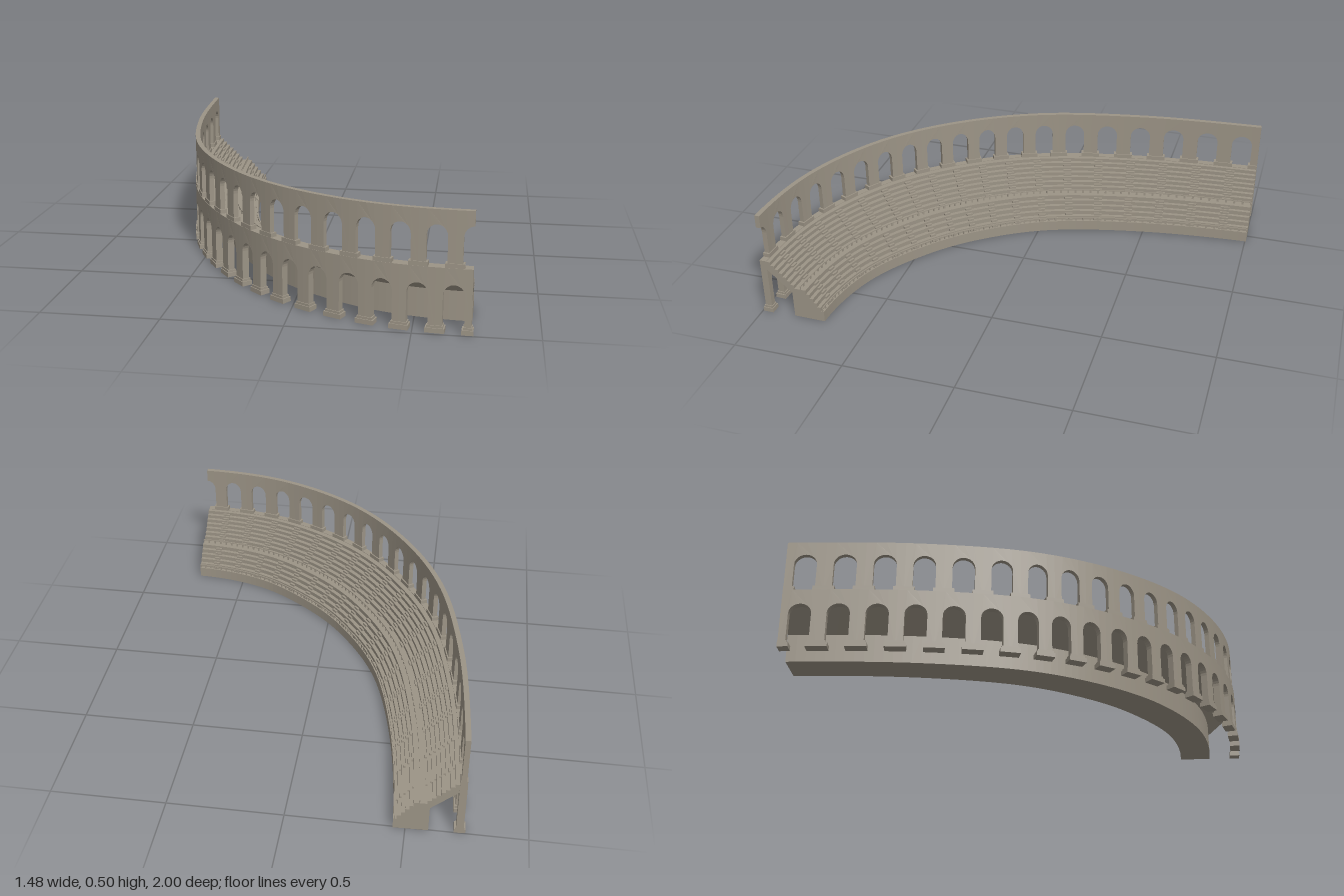
import * as THREE from 'three';
import { mergeGeometries } from 'three/addons/utils/BufferGeometryUtils.js';

// Plan curves; parameter k counts arch bays from the front end (0) to the back end (END)
const END = 18.5;
const plan = (pts) => new THREE.CatmullRomCurve3(
  pts.map(([x, z]) => new THREE.Vector3(x, 0, z)), false, 'catmullrom', 0.5);
const outer = plan([[1.15, 0.95], [0.73, 0.99], [0.308, 0.93], [-0.077, 0.738], [-0.365, 0.445],
  [-0.573, 0.064], [-0.686, -0.411], [-0.735, -0.914], [-0.75, -1.42]]);
const inner = plan([[1.07, 0.65], [0.735, 0.7], [0.40, 0.638], [0.12, 0.47], [-0.096, 0.254],
  [-0.277, -0.05], [-0.388, -0.46], [-0.445, -0.925], [-0.457, -1.42]]);
const param = (k) => (k + 3) / 24;

// Point at bay k, height y, and distance d inward from the outer face
function onWall(k, y, d) {
  const p = outer.getPoint(param(k));
  const t = outer.getTangent(param(k));
  return new THREE.Vector3(p.x - t.z * d, y, p.z + t.x * d);
}

// Point at bay k, height y, and fraction t of the way from outer to inner curve
function onSeats(k, y, t) {
  const p = outer.getPoint(param(k)).lerp(inner.getPoint(param(k)), t);
  p.y = y;
  return p;
}

// Moves every vertex of a geometry by rule and gives it flat normals
function bend(geometry, rule) {
  const g = geometry.index ? geometry.toNonIndexed() : geometry;
  const pos = g.attributes.position;
  for (let i = 0; i < pos.count; i++) {
    const v = rule(pos.getX(i), pos.getY(i), pos.getZ(i));
    pos.setXYZ(i, v.x, v.y, v.z);
  }
  g.computeVertexNormals();
  return g;
}

// Curved block spanning k0..k1, y0..y1 and d0..d1
function block(place, k0, k1, y0, y1, d0, d1, segments = 1) {
  const g = new THREE.BoxGeometry(k1 - k0, y1 - y0, d1 - d0, segments, 1, 1);
  g.translate((k0 + k1) / 2, (y0 + y1) / 2, (d0 + d1) / 2);
  return bend(g, place);
}

// One wall bay with an arched opening; a half bay starts at the crown
function archBay(centre, pitch, { bottom, spring, crown, top, half, front, back }, isHalf = false) {
  const pts = isHalf ? [] : [[-0.5, bottom], [-half, bottom]];
  const n = isHalf ? 6 : 12;
  const start = isHalf ? Math.PI / 2 : Math.PI;
  for (let i = 0; i <= n; i++) {
    const a = start * (1 - i / n);
    pts.push([half * Math.cos(a), spring + (crown - spring) * Math.sin(a)]);
  }
  pts.push([half, bottom], [0.5, bottom], [0.5, top], [0.25, top], [0, top]);
  if (!isHalf) pts.push([-0.25, top], [-0.5, top]);
  const shape = new THREE.Shape(pts.map(([x, y]) => new THREE.Vector2(x, y)));
  const g = new THREE.ExtrudeGeometry(shape, { depth: back - front, bevelEnabled: false });
  return bend(g, (x, y, z) => onWall(centre + x * pitch, y, front + z));
}

// Stepped rows running from (t0, y0) up to (t1, y1)
function makeRows(count, t0, t1, y0, y1) {
  return Array.from({ length: count }, (_, i) => ({
    t: t0 + (t1 - t0) * i / count,
    y0: y0 + (y1 - y0) * i / count,
    y1: y0 + (y1 - y0) * (i + 1) / count,
  }));
}

export function createModel() {
  const group = new THREE.Group();
  const stone = new THREE.MeshStandardMaterial({ color: 0x9c9486 });
  const add = (name, parts) => {
    const mesh = new THREE.Mesh(mergeGeometries(parts), stone);
    mesh.name = name;
    group.add(mesh);
  };
  const clamp = (k, over = 0) => Math.min(END, Math.max(-over, k));

  // Lower arcade with a plinth under every pier; bays tighten slightly to end on a pier
  const lower = { bottom: 0, spring: 0.155, crown: 0.2, top: 0.267, half: 0.3, front: 0.003, back: 0.034 };
  const bays = 19;
  const pier = (i) => i - (bays - END) * (i / bays) ** 2;
  const lowerWall = [];
  const lowerPlinths = [];
  for (let i = 0; i <= bays; i++) {
    const k = pier(i);
    if (i < bays) lowerWall.push(archBay((k + pier(i + 1)) / 2, pier(i + 1) - k, lower));
    lowerPlinths.push(
      block(onWall, clamp(k - 0.27, 0.06), clamp(k + 0.27), 0, 0.02, -0.005, 0.042),
      block(onWall, clamp(k - 0.23, 0.03), clamp(k + 0.23), 0.02, 0.03, -0.001, 0.038));
  }
  add('lowerArcade', lowerWall);
  add('lowerPlinths', lowerPlinths);

  // Upper arcade, set half a bay off, beginning with a half arch
  const upper = { bottom: 0.265, spring: 0.39, crown: 0.437, top: 0.497, half: 0.29, front: 0.008, back: 0.03 };
  const upperWall = [archBay(0, 1, upper, true)];
  const upperPlinths = [];
  for (let k = 1; k <= 18; k++) upperWall.push(archBay(k, 1, upper));
  for (let k = 0.5; k <= END; k++) {
    upperPlinths.push(block(onWall, k - 0.27, clamp(k + 0.27), 0.265, 0.285, 0.004, 0.035));
  }
  add('upperArcade', upperWall);
  add('upperPlinths', upperPlinths);

  // Seating bank: two stepped tiers, a walkway between, sloped underside
  const lowerRows = makeRows(5, 0.95, 0.67, 0.05, 0.148);
  const upperRows = makeRows(7, 0.54, 0.12, 0.148, 0.265);
  const section = [[0.5, 0], [1, 0], [1, 0.05]];
  for (const r of [...lowerRows, ...upperRows]) section.push([r.t, r.y0], [r.t, r.y1]);
  section.push([0.05, 0.265], [0.05, 0.24], [0.5, 0.125]);
  const bank = new THREE.ExtrudeGeometry(
    new THREE.Shape(section.map(([t, y]) => new THREE.Vector2(-t, y))),
    { depth: END, steps: 74, bevelEnabled: false });
  add('seatingBank', [bend(bank, (x, y, z) => onSeats(z, y, -x))]);

  // Aisles, one per bay: a half-height step in front of every row
  const steps = [];
  for (let k = 0.75; k < END; k++) {
    for (const { t, y0, y1 } of [...lowerRows, ...upperRows]) {
      steps.push(block(onSeats, k - 0.13, k + 0.13, y0 - 0.002, (y0 + y1) / 2, t - 0.015, t + 0.03));
    }
  }
  add('aisleSteps', steps);

  // Low railings on the front edge and along the walkway
  const railings = [];
  for (const [t, y] of [[0.98, 0.05], [0.645, 0.148]]) {
    railings.push(block(onSeats, 0, END, y + 0.014, y + 0.018, t - 0.008, t + 0.008, 74));
    for (let i = 0; i <= 74; i++) {
      const k = i * 0.25;
      railings.push(block(onSeats, clamp(k - 0.03), clamp(k + 0.03), y - 0.002, y + 0.015, t - 0.007, t + 0.007));
    }
  }
  add('railings', railings);

  return group;
}
